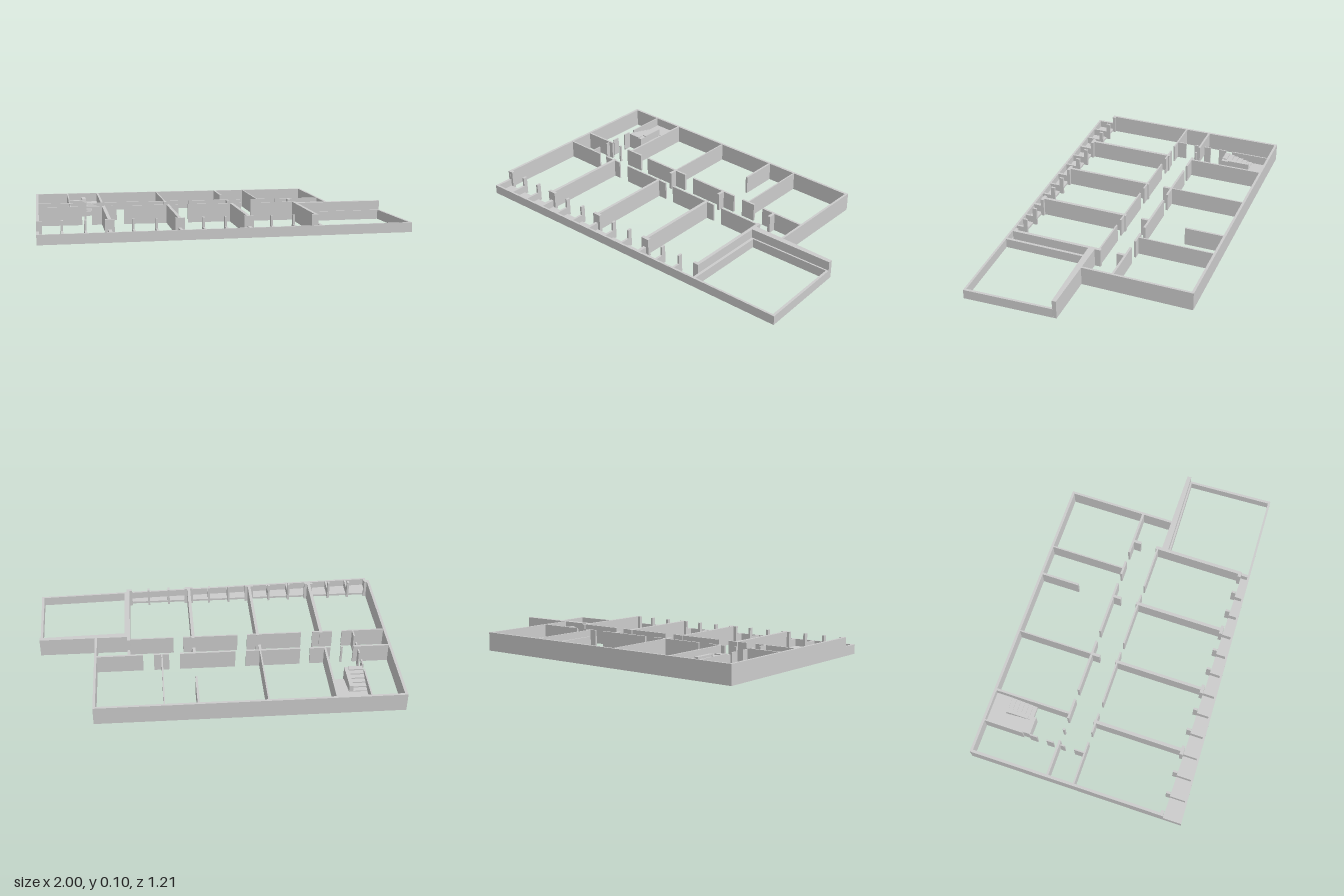
import * as THREE from 'three';

const H = 0.105;   // full wall height
const L = 0.053;   // low wall height

export function createModel() {
  const model = new THREE.Group();
  const mat = new THREE.MeshStandardMaterial({ color: 0xcccccc, flatShading: true });

  const add = (name, geo) => {
    const mesh = new THREE.Mesh(geo, mat);
    mesh.name = name;
    model.add(mesh);
    return mesh;
  };
  // axis-aligned block from its plan extents
  const block = (name, x0, x1, z0, z1, top = H, bottom = 0) =>
    add(name, new THREE.BoxGeometry(x1 - x0, top - bottom, z1 - z0))
      .position.set((x0 + x1) / 2, (top + bottom) / 2, (z0 + z1) / 2);
  // upright prism over any plan outline of [x, z] points
  const prism = (name, pts, top) => {
    const shape = new THREE.Shape(pts.map(([x, z]) => new THREE.Vector2(x, z)));
    const geo = new THREE.ExtrudeGeometry(shape, { depth: top, bevelEnabled: false });
    geo.rotateX(Math.PI / 2).translate(0, top, 0);
    add(name, geo);
  };
  // slanted front edge of the plan
  const frontZ = x => 0.603 - (x + 1) * 0.0375;

  // outer walls
  block('backWall', -1, 0.665, -0.605, -0.591);
  block('rightOuterWall', -1, -0.985, -0.591, 0.5);
  block('leftOuterWall', 0.652, 0.665, -0.591, 0.012);

  // corridor walls, broken by door openings
  [[-0.985, -0.785], [-0.725, -0.715], [-0.655, -0.54], [-0.485, -0.18],
    [-0.12, 0.19], [0.25, 0.335], [0.395, 0.652]]
    .forEach(([a, b]) => block('corridorBackWall', a, b, -0.167, -0.155));
  [[-0.985, -0.745], [-0.69, -0.575], [-0.51, -0.2], [-0.145, 0.165], [0.22, 0.47]]
    .forEach(([a, b]) => block('corridorFrontWall', a, b, -0.015, -0.006));

  // back room partitions
  [[-0.625, 0.012, -0.16], [-0.26, 0.008, -0.16], [0.11, 0.012, -0.372], [0.29, 0.008, -0.16]]
    .forEach(([x, w, z]) => block('backPartition', x - w / 2, x + w / 2, -0.591, z));
  [-0.26, 0.108, 0.473].forEach(x => block('corridorPier', x - 0.008, x + 0.008, -0.155, -0.113));

  // pieces of the stair hall wall
  [[-0.591, -0.37], [-0.33, -0.285], [-0.23, -0.19], [-0.15, -0.125], [-0.07, -0.015]]
    .forEach(([a, b]) => block('stairHallWall', -0.812, -0.804, a, b));

  // front room partitions with flanged ends
  [[-0.625, 0.018], [-0.26, 0.016], [0.108, 0.018], [0.475, 0.018]].forEach(([x, w], i) => {
    block('frontPartition', x - w / 2, x + w / 2, -0.022, 0.498);
    block('partitionFlange', x - 0.025, x + (i === 3 ? 0.009 : 0.025), 0.48, 0.498);
    if (i < 3) block('terraceDivider', x - w / 2, x + w / 2, 0.498, frontZ(x) - 0.01, L);
  });
  block('cornerFlange', -0.985, -0.97, 0.48, 0.498);

  // window posts with low dividers across the terrace
  [-0.87, -0.75, -0.503, -0.382, -0.135, -0.017, 0.23, 0.35].forEach(x => {
    block('windowPost', x - 0.006, x + 0.006, 0.476, 0.5);
    block('terraceDivider', x - 0.006, x + 0.006, 0.5, frontZ(x) - 0.01, L);
  });

  // terrace strip, its end wall and the slanted low front wall
  prism('terraceFloor', [[-1, 0.5], [0.49, 0.5], [0.49, frontZ(0.49)], [-1, frontZ(-1)]], 0.012);
  block('terraceEndWall', -1, -0.985, 0.5, 0.6, L);
  prism('lowFrontWall', [[-1, frontZ(-1) - 0.012], [0.99, frontZ(0.99) - 0.012],
    [0.995, frontZ(0.995)], [-1, frontZ(-1)]], L);

  // side yard
  prism('yardBackWall', [[0.48, 0.012], [0.977, 0.012], [0.977, 0.035], [0.48, 0.05]], H);
  prism('yardBackCurb', [[0.48, 0.045], [0.978, 0.03], [0.978, 0.044], [0.48, 0.06]], L);
  prism('yardSideWall', [[0.965, 0.035], [0.978, 0.035], [0.998, 0.528], [0.983, 0.528]], L);
  block('yardInnerWall', 0.484, 0.5, 0.05, 0.546, L);

  // half-turn staircase
  block('stairLanding', -0.804, -0.631, -0.591, -0.5, 0.055);
  block('stairDivider', -0.727, -0.705, -0.5, -0.372, 0.095);
  const steps = 6;
  for (let i = 0; i < steps; i++) {
    const at = (end, k) => -0.5 + (end + 0.5) * k / steps;
    block('upperFlightStep', -0.804, -0.727, at(-0.33, i), at(-0.33, i + 1), 0.06 + i * 0.007);
    block('lowerFlightStep', -0.705, -0.631, at(-0.355, i), at(-0.355, i + 1), 0.052 - i * 0.005);
  }
  block('stairHead', -0.727, -0.705, -0.372, -0.33, 0.09);
  return model;
}
